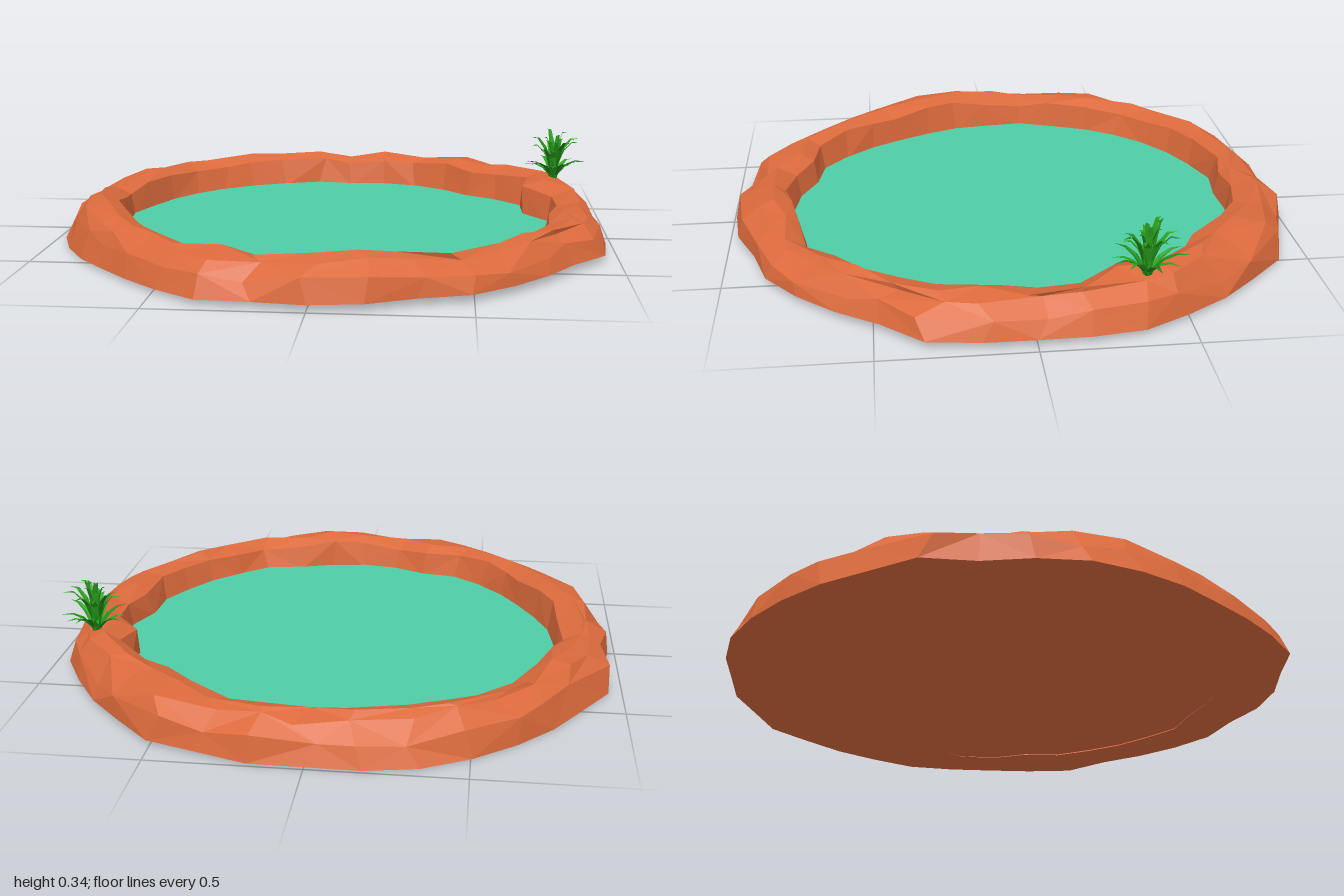
import * as THREE from 'three';

const SEG = 36;
// Outline radii every 10 degrees, from +x towards +z
const OUTER = [.97, .985, 1.01, .96, .965, .975, .986, .96, .985, .99, .98, 1.01, .975, .95, .94, .955, .97, .985,
  .975, .96, 1.015, .99, .995, 1, 1.01, 1.02, 1.01, .995, 1.012, 1.005, 1.03, 1, .995, .99, 1, .98];
const INNER = [.80, .76, .79, .785, .79, .79, .805, .77, .775, .78, .77, .745, .78, .77, .76, .75, .755, .77,
  .775, .80, .79, .80, .805, .81, .81, .81, .82, .79, .81, .81, .79, .76, .79, .81, .75, .80];

function seeded(seed) {
  return () => {
    seed = (seed * 1664525 + 1013904223) % 4294967296;
    return seed / 4294967296;
  };
}

function buildGeometry(points, index) {
  const g = new THREE.BufferGeometry();
  g.setAttribute('position', new THREE.Float32BufferAttribute(points, 3));
  g.setIndex(index);
  g.computeVertexNormals();
  return g;
}

// Slightly tilted underside
const bottomY = a => 0.014 + 0.013 * Math.cos(a - 0.65);

// Closed rocky rim: cross-section rows run from outer foot, over the crest, to inner foot
function rimGeometry() {
  const rand = seeded(11), jit = s => (rand() - 0.5) * s;
  const points = [], index = [], ROWS = 6;
  for (let i = 0; i < SEG; i++) {
    const a = i / SEG * Math.PI * 2, ro = OUTER[i], ri = INNER[i];
    const bump = 0.025 * (Math.exp(-((i - 15.5) ** 2) / 3) + Math.exp(-((i - 33.5) ** 2) / 3));
    const top = 0.145 + bump + jit(0.025);
    const section = [
      [ro, bottomY(a)],
      [ro - 0.02 + jit(0.03), 0.085 + jit(0.04)],
      [ro - 0.07 + jit(0.04), top - 0.015 + jit(0.02)],
      [ri + 0.08 + jit(0.04), top],
      [ri + 0.02 + jit(0.02), top - 0.025 + jit(0.02)],
      [ri, 0.02],
    ];
    section.forEach(([r, y], k) => {
      const t = a + (k > 0 && k < 5 ? jit(0.09) : 0);
      points.push(r * Math.cos(t), y, r * Math.sin(t));
    });
  }
  const centre = points.length / 3;
  points.push(0, 0.014, 0);
  for (let i = 0; i < SEG; i++) {
    const p = i * ROWS, q = ((i + 1) % SEG) * ROWS;
    for (let k = 0; k < ROWS - 1; k++) {
      const a = p + k, b = p + k + 1, c = q + k, d = q + k + 1;
      if ((i + k) % 2) index.push(a, b, c, b, d, c);
      else index.push(a, b, d, a, d, c);
    }
    index.push(centre, p, q); // underside
  }
  return buildGeometry(points, index);
}

// Arching folded blade leaning towards +x
function leafGeometry(reach, height, width) {
  const points = [], index = [], N = 4;
  for (let i = 0; i <= N; i++) {
    const t = i / N, x = reach * Math.pow(t, 1.4), y = height * Math.sin(t * 1.75) / Math.sin(1.571);
    const w = width * (1 - t) * (0.6 + 1.6 * t);
    points.push(x, y + w * 0.4, -w, x, y, 0, x, y + w * 0.4, w);
  }
  for (let i = 0; i < N; i++) {
    for (let k = 0; k < 2; k++) {
      const a = i * 3 + k, b = a + 1, c = a + 3, d = a + 4;
      index.push(a, b, c, b, d, c);
    }
  }
  return buildGeometry(points, index);
}

function createPlant() {
  const plant = new THREE.Group();
  plant.name = 'plant';
  const rand = seeded(5);
  const greens = [0x1f8a14, 0x2aa31c].map(color =>
    new THREE.MeshStandardMaterial({ color, flatShading: true, side: THREE.DoubleSide }));
  // Rings of leaves: count, reach, height
  [[10, 0.135, 0.1], [9, 0.1, 0.165], [6, 0.045, 0.205]].forEach(([count, reach, height], ring) => {
    for (let i = 0; i < count; i++) {
      const s = 0.8 + rand() * 0.28;
      const leaf = new THREE.Mesh(leafGeometry(reach * s, height * s, 0.016), greens[(i + ring) % 2]);
      leaf.name = 'leaf';
      leaf.rotation.y = (i + ring * 0.4 + rand() * 0.4) / count * Math.PI * 2;
      plant.add(leaf);
    }
  });
  return plant;
}

export function createModel() {
  const group = new THREE.Group();
  group.name = 'pond';

  const rim = new THREE.Mesh(rimGeometry(),
    new THREE.MeshStandardMaterial({ color: 0xdb6a3c, flatShading: true }));
  rim.name = 'rockRim';
  group.add(rim);

  // Flat water surface reaching under the rim
  const water = new THREE.Mesh(new THREE.CircleGeometry(0.85, 48).rotateX(-Math.PI / 2),
    new THREE.MeshStandardMaterial({ color: 0x4ecca6, side: THREE.DoubleSide }));
  water.name = 'water';
  water.position.y = 0.031;
  group.add(water);

  const plant = createPlant();
  plant.position.set(0.825, 0.13, -0.36);
  group.add(plant);
  return group;
}
